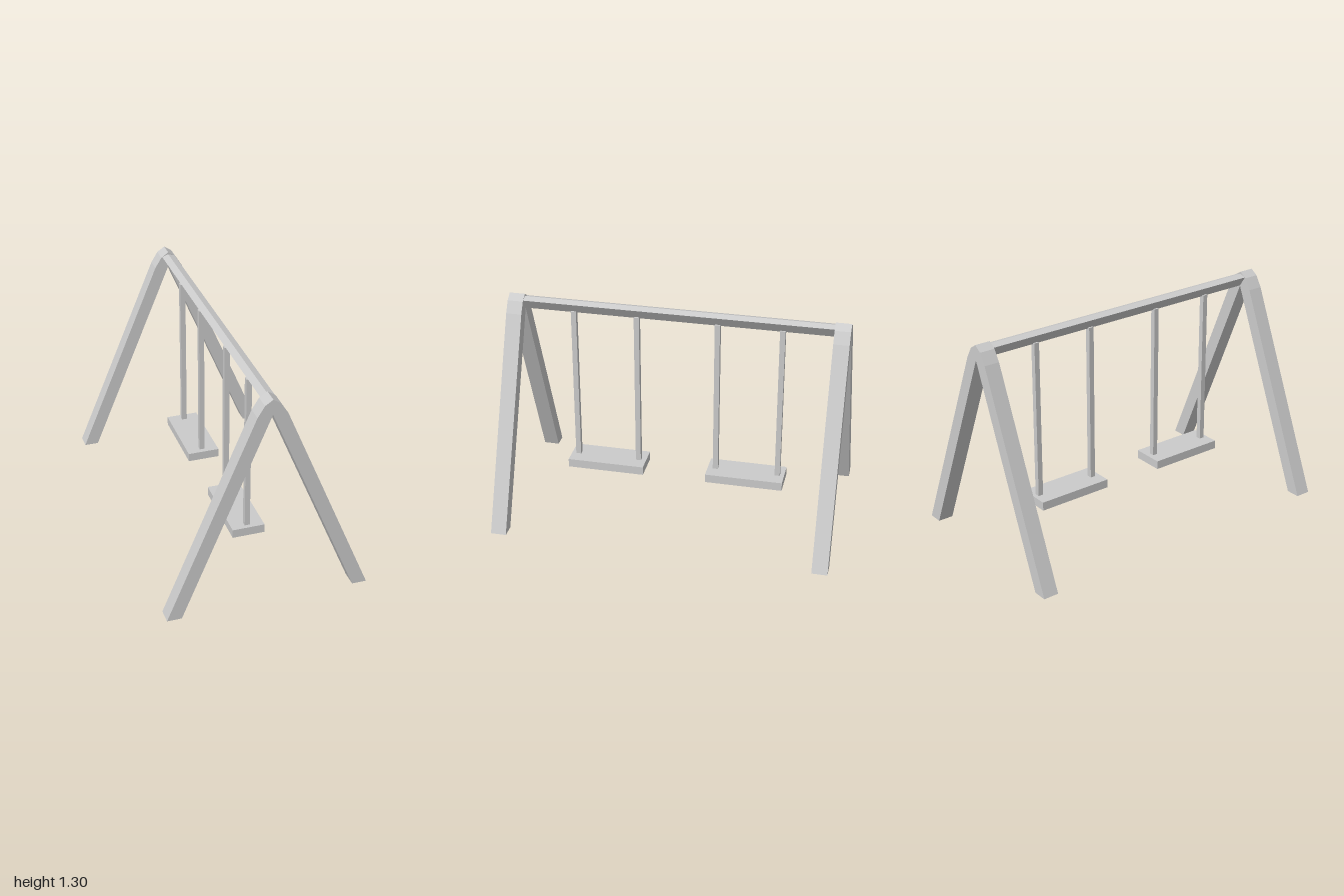
import * as THREE from 'three';

const material = new THREE.MeshStandardMaterial({ color: 0xcccccc, flatShading: true });

// Extrude an x-y outline along z, starting at z0
function prism(name, points, z0, depth) {
  const shape = new THREE.Shape(points.map(([x, y]) => new THREE.Vector2(x, y)));
  const geometry = new THREE.ExtrudeGeometry(shape, { depth, bevelEnabled: false });
  geometry.translate(0, 0, z0);
  const mesh = new THREE.Mesh(geometry, material);
  mesh.name = name;
  return mesh;
}

function box(name, w, h, d, x, y, z) {
  const mesh = new THREE.Mesh(new THREE.BoxGeometry(w, h, d), material);
  mesh.name = name;
  mesh.position.set(x, y, z);
  return mesh;
}

export function createModel() {
  const model = new THREE.Group();
  model.name = 'swingSet';

  // A-shaped end frames with a faceted bend at the top
  const frame = [
    [-0.59, 0], [-0.505, 0], [0, 1.21], [0.505, 0], [0.59, 0],
    [0.085, 1.205], [0.045, 1.27], [0, 1.3], [-0.045, 1.27], [-0.085, 1.205],
  ];
  model.add(prism('frontFrame', frame, 0.908, 0.092));
  model.add(prism('backFrame', frame, -1, 0.092));

  // Kite-section beam between the frames
  const beam = [[0, 1.212], [0.04, 1.274], [0, 1.287], [-0.04, 1.274]];
  model.add(prism('topBeam', beam, -0.91, 1.82));

  // Two swings, each a seat board on a pair of hangers
  for (const side of [1, -1]) {
    const swing = new THREE.Group();
    swing.name = side > 0 ? 'frontSwing' : 'backSwing';
    swing.add(box('seat', 0.192, 0.052, 0.464, 0, 0.241, side * 0.423));
    for (const z of [0.238, 0.614]) {
      swing.add(box('hanger', 0.031, 0.96, 0.031, 0, 0.74, side * z));
    }
    model.add(swing);
  }
  return model;
}
